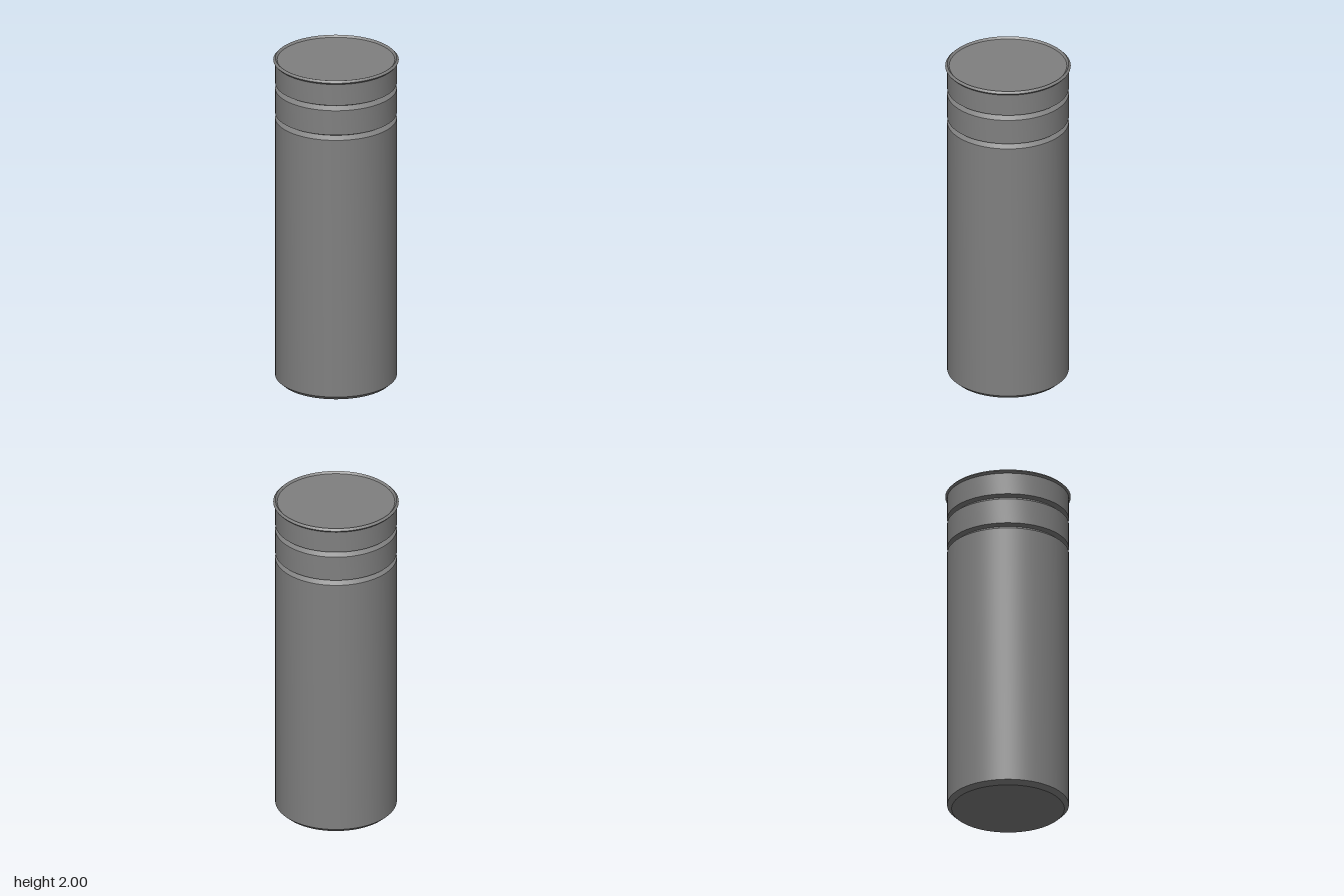
import * as THREE from 'three';
import { toCreasedNormals } from 'three/addons/utils/BufferGeometryUtils.js';

const SEGMENTS = 72;
const R = 0.352;        // body radius
const INNER = 0.326;    // groove and base radius

export function createModel() {
  const group = new THREE.Group();
  const grey = new THREE.MeshStandardMaterial({ color: 0x808080 });
  grey.name = 'grey';

  // Revolve a profile, keeping its corners sharp and its sides round
  const addTurned = (name, profile) => {
    const points = profile.map(([r, y]) => new THREE.Vector2(r, y));
    const geometry = toCreasedNormals(new THREE.LatheGeometry(points, SEGMENTS), 0.4);
    const mesh = new THREE.Mesh(geometry, grey);
    mesh.name = name;
    group.add(mesh);
  };

  // V-shaped groove: long lower slope, short upper slope
  const groove = (y) => [[R, y], [INNER, y + 0.021], [R, y + 0.033]];

  // Body with flat base, bottom chamfer and two grooves
  addTurned('body', [
    [0, 0], [INNER, 0], [R, 0.024],
    ...groove(1.627), ...groove(1.812),
    [R, 1.977],
  ]);

  // Bevelled rim standing just proud of the lid
  addTurned('rim', [[R, 1.976], [0.363, 1.988], [0.351, 2], [0.34, 1.988]]);

  // Flat lid set inside the rim
  const lid = new THREE.Mesh(new THREE.CircleGeometry(0.34, SEGMENTS), grey);
  lid.name = 'lid';
  lid.rotation.x = -Math.PI / 2;
  lid.position.y = 1.988;
  group.add(lid);

  return group;
}
